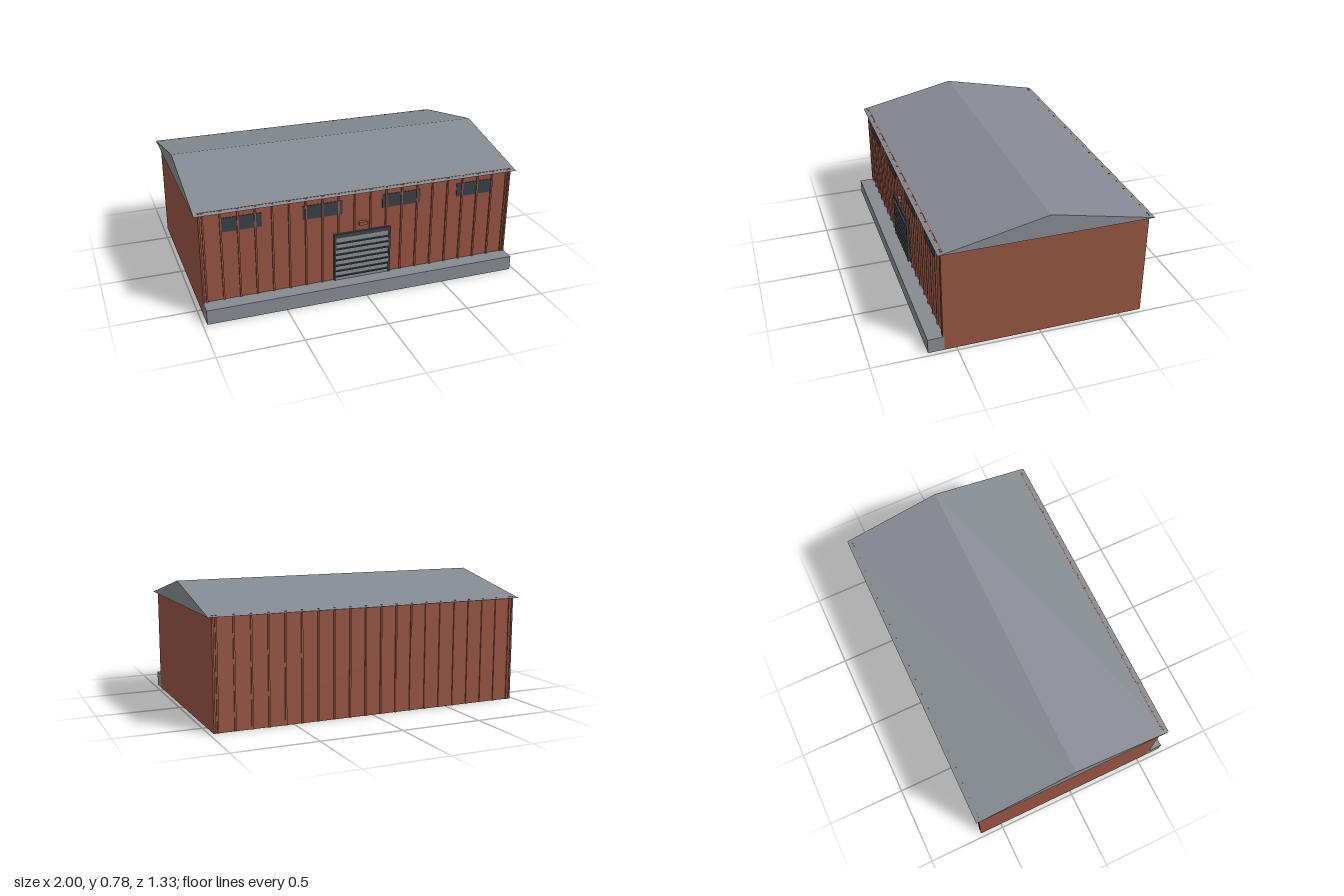
import * as THREE from 'three';

const brick = new THREE.MeshStandardMaterial({ color: 0x945341, side: THREE.DoubleSide });
brick.name = 'rust red cladding';
const grey = new THREE.MeshStandardMaterial({ color: 0x858a90 });
grey.name = 'grey metal and concrete';
const dark = new THREE.MeshStandardMaterial({ color: 0x3c4146 });
dark.name = 'dark trim';
const glass = new THREE.MeshStandardMaterial({ color: 0x383e46 });
glass.name = 'dark glass';

const HALF = 0.975, FRONT = 0.57, BACK = -0.635, EAVE = 0.647, RIDGE = 0.782;

export function createModel() {
  const model = new THREE.Group();
  model.name = 'warehouse';

  const add = (name, geometry, material, parent = model) => {
    const mesh = new THREE.Mesh(geometry, material);
    mesh.name = name;
    parent.add(mesh);
    return mesh;
  };
  // Box given by its minimum and maximum on each axis
  const box = (name, material, x0, x1, y0, y1, z0, z1, parent) => {
    const mesh = add(name, new THREE.BoxGeometry(x1 - x0, y1 - y0, z1 - z0), material, parent);
    mesh.position.set((x0 + x1) / 2, (y0 + y1) / 2, (z0 + z1) / 2);
    return mesh;
  };

  // Hollow shell, open at the bottom
  const walls = new THREE.Group();
  walls.name = 'walls';
  model.add(walls);
  box('frontWall', brick, -HALF, HALF, 0, 0.655, FRONT - 0.004, FRONT, walls);
  box('backWall', brick, -HALF, HALF, 0, EAVE, BACK, BACK + 0.004, walls);
  for (const side of [-1, 1]) {
    const wall = add(side > 0 ? 'leftWall' : 'rightWall',
      new THREE.PlaneGeometry(FRONT - BACK, EAVE), brick, walls);
    wall.rotation.y = side * Math.PI / 2;
    wall.position.set(side * HALF, EAVE / 2, (FRONT + BACK) / 2);
  }

  // Cladding ribs along both long walls, with trims at the corners
  const ribs = new THREE.Group();
  ribs.name = 'claddingRibs';
  model.add(ribs);
  const ribXs = [-HALF + 0.005, HALF - 0.005];
  for (let i = 0; i < 20; i++) ribXs.push(-0.95 + i * 0.1);
  for (const x of ribXs) {
    // Ribs stop above the door head where they cross the door
    const bottom = Math.abs(x) < 0.18 ? 0.395 : 0.09;
    box('frontRib', brick, x - 0.005, x + 0.005, bottom, 0.655, FRONT, 0.579, ribs);
    box('backRib', brick, x - 0.005, x + 0.005, 0, 0.655, BACK - 0.007, BACK, ribs);
  }

  // Gable roof with a flat underside
  const gable = new THREE.Shape([
    new THREE.Vector2(-0.6, EAVE),
    new THREE.Vector2(0.665, EAVE),
    new THREE.Vector2(0.033, RIDGE),
  ]);
  const roof = add('roof', new THREE.ExtrudeGeometry(gable, { depth: 2, bevelEnabled: false }), grey);
  roof.rotation.y = Math.PI / 2;
  roof.position.x = -1;

  // Loading dock along the front
  box('loadingDock', grey, -HALF, HALF, 0, 0.09, FRONT, 0.667);

  // High strip windows behind the ribs
  for (const [x0, x1] of [[-0.847, -0.612], [-0.37, -0.125], [0.125, 0.37], [0.612, 0.847]]) {
    box('window', glass, x0, x1, 0.52, 0.605, FRONT, 0.574);
  }

  // Roller door: dark frame, grey curtain and dark slat joints
  const door = new THREE.Group();
  door.name = 'rollerDoor';
  model.add(door);
  for (const side of [-1, 1]) {
    box('doorJamb', dark, side * 0.174 - 0.006, side * 0.174 + 0.006, 0.09, 0.395, FRONT, 0.585, door);
  }
  box('doorHead', dark, -0.168, 0.168, 0.37, 0.395, FRONT, 0.585, door);
  box('doorCurtain', grey, -0.168, 0.168, 0.09, 0.37, FRONT, 0.581, door);
  for (let i = 0; i < 7; i++) {
    const y = 0.115 + i * 0.0365;
    box('slatJoint', dark, -0.168, 0.168, y - 0.004, y + 0.004, 0.581, 0.588, door);
  }

  // Small lamp housing above the door
  box('doorLamp', brick, -0.025, 0.025, 0.434, 0.456, FRONT, 0.592);

  return model;
}
